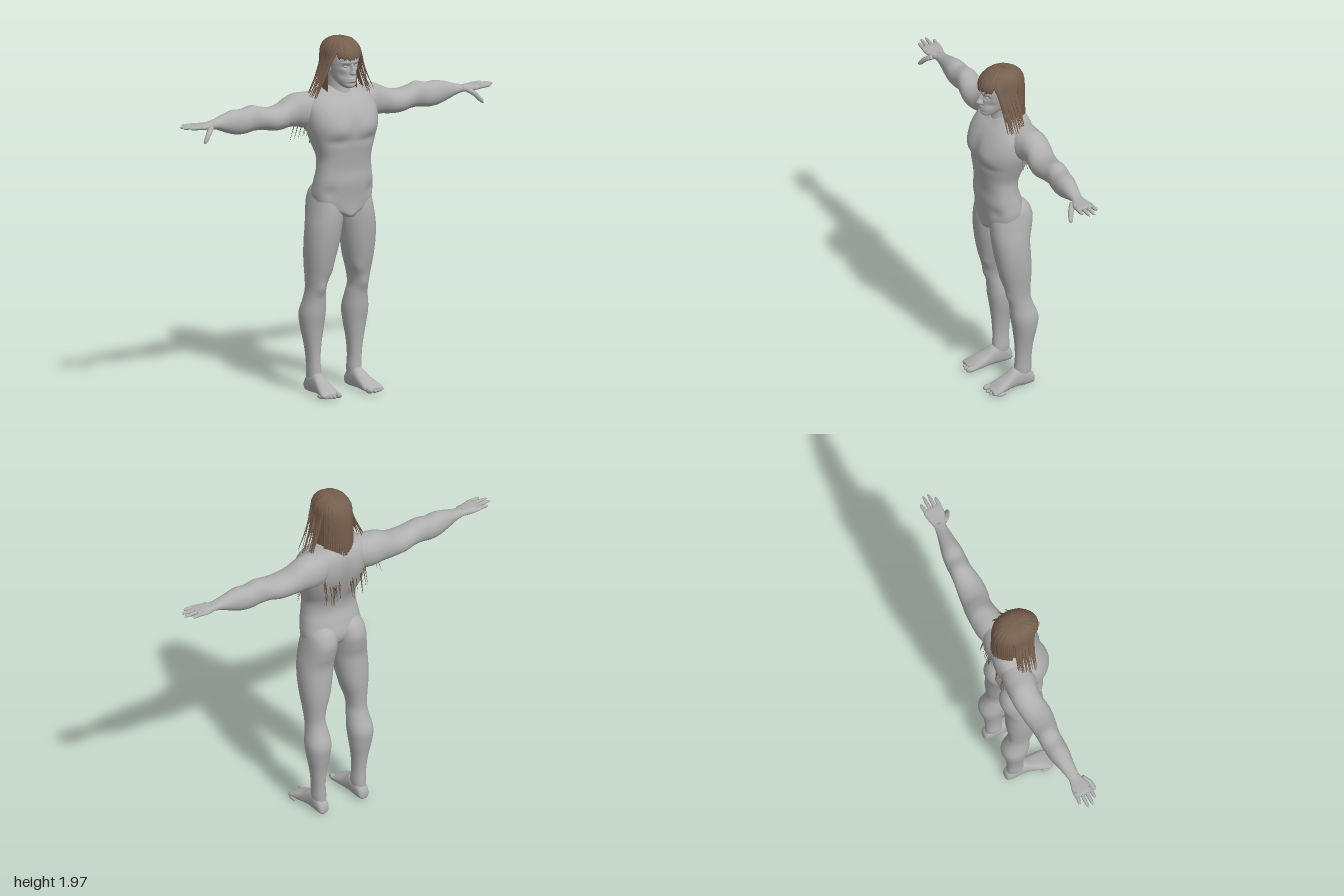
import * as THREE from 'three';

const skin = new THREE.MeshStandardMaterial({ color: 0xb0b0b0 });
skin.name = 'skin grey';
const brown = new THREE.MeshStandardMaterial({ color: 0x78614f, side: THREE.DoubleSide });
brown.name = 'hair brown';

let seed = 7;
const rand = () => (seed = (seed * 16807) % 2147483647) / 2147483647;
const V = (x, y, z) => new THREE.Vector3(x, y, z);

// Closed skin over rings of points, always facing outward
function skinRings(rings) {
  const n = rings[0].length, pos = [], idx = [];
  rings.forEach(r => r.forEach(p => pos.push(p.x, p.y, p.z)));
  const ends = [rings[0], rings[rings.length - 1]];
  ends.forEach(r => {
    const c = r.reduce((s, p) => s.add(p), V(0, 0, 0)).divideScalar(n);
    pos.push(c.x, c.y, c.z);
  });
  const c0 = rings.length * n, last = c0 - n;
  for (let j = 0; j < n; j++) {
    const k = (j + 1) % n;
    for (let i = 0; i < rings.length - 1; i++) {
      const a = i * n + j, b = i * n + k;
      idx.push(a, b, a + n, b, b + n, a + n);
    }
    idx.push(c0, k, j, c0 + 1, last + j, last + k);
  }
  const g = new THREE.BufferGeometry();
  g.setAttribute('position', new THREE.Float32BufferAttribute(pos, 3));
  let vol = 0;
  const P = i => V(pos[3 * i], pos[3 * i + 1], pos[3 * i + 2]);
  for (let i = 0; i < idx.length; i += 3) vol += P(idx[i]).dot(P(idx[i + 1]).cross(P(idx[i + 2])));
  g.setIndex(vol < 0 ? idx.reverse() : idx);
  g.computeVertexNormals();
  return g;
}

// Smooth loft along an axis; rows are [position, uMin, uMax, vMin, vMax]
function loft(axis, rows, e = 2.2, n = 36, sub = 5) {
  const cr = (a, b, c, d, t) => b + 0.5 * t * (c - a + t * (2 * a - 5 * b + 4 * c - d + t * (3 * (b - c) + d - a)));
  const at = i => rows[Math.max(0, Math.min(rows.length - 1, i))];
  const pw = x => Math.sign(x) * Math.abs(x) ** (2 / e);
  const rings = [];
  for (let s = 0; s <= (rows.length - 1) * sub; s++) {
    const i = Math.floor(s / sub), f = (s % sub) / sub;
    const [t, u0, u1, v0, v1] = at(i).map((_, k) => cr(at(i - 1)[k], at(i)[k], at(i + 1)[k], at(i + 2)[k], f));
    rings.push(Array.from({ length: n }, (_, j) => {
      const a = (j / n) * Math.PI * 2;
      const u = (u0 + u1) / 2 + (u1 - u0) / 2 * pw(Math.cos(a));
      const v = (v0 + v1) / 2 + (v1 - v0) / 2 * pw(Math.sin(a));
      return axis === 'y' ? V(u, t, v) : axis === 'x' ? V(t, u, v) : V(u, v, t);
    }));
  }
  return skinRings(rings);
}

// Flattened tapering strip along a curve
function strip(points, wide, thick, side, taper, segs = 12, n = 6) {
  const curve = new THREE.CatmullRomCurve3(points), rings = [];
  for (let i = 0; i <= segs; i++) {
    const t = i / segs, c = curve.getPoint(t), T = curve.getTangent(t), k = taper(t);
    const N = T.clone().cross(side).normalize(), W = N.clone().cross(T);
    rings.push(Array.from({ length: n }, (_, j) => {
      const a = (j / n) * Math.PI * 2;
      return c.clone().addScaledVector(W, wide * k * Math.cos(a)).addScaledVector(N, thick * k * Math.sin(a));
    }));
  }
  return skinRings(rings);
}

// Soft bulges and hollows: [centre xyz, spread xyz, push xyz], mirrored when off-centre
function sculpt(g, list) {
  const p = g.attributes.position;
  for (let i = 0; i < p.count; i++) {
    const v = V(p.getX(i), p.getY(i), p.getZ(i)), d = V(0, 0, 0);
    for (const [x, y, z, sx, sy, sz, dx, dy, dz] of list)
      for (const m of x ? [1, -1] : [1]) {
        const w = Math.exp(-(((v.x - m * x) / sx) ** 2) - ((v.y - y) / sy) ** 2 - ((v.z - z) / sz) ** 2);
        d.add(V(m * dx * w, dy * w, dz * w));
      }
    v.add(d);
    p.setXYZ(i, v.x, v.y, v.z);
  }
  g.computeVertexNormals();
  return g;
}

export function createModel() {
  const root = new THREE.Group();
  const add = (name, g, mat = skin) => {
    const m = new THREE.Mesh(g, mat);
    m.name = name;
    root.add(m);
  };
  const pair = (name, g, mat = skin) => {
    add(name + 'Left', g, mat);
    const r = g.clone().scale(-1, 1, 1);
    r.setIndex(Array.from(g.index.array).reverse());
    r.computeVertexNormals();
    add(name + 'Right', r, mat);
  };

  // Torso with chest, belly and spine modelling
  add('torso', sculpt(loft('y', [
    [0.985, -0.03, 0.03, 0.03, 0.1], [1.0, -0.05, 0.05, -0.01, 0.112], [1.04, -0.15, 0.15, -0.08, 0.113],
    [1.1, -0.176, 0.176, -0.105, 0.118], [1.18, -0.17, 0.17, -0.088, 0.127], [1.25, -0.16, 0.16, -0.07, 0.125],
    [1.32, -0.158, 0.158, -0.08, 0.132], [1.4, -0.182, 0.182, -0.115, 0.142], [1.48, -0.205, 0.205, -0.14, 0.15],
    [1.55, -0.21, 0.21, -0.152, 0.138], [1.61, -0.2, 0.2, -0.152, 0.1], [1.65, -0.165, 0.165, -0.14, 0.06],
    [1.68, -0.1, 0.1, -0.12, 0.03], [1.7, -0.055, 0.055, -0.1, 0.01]], 2.4, 64, 6), [
    [0.09, 1.48, 0.14, 0.07, 0.05, 0.08, 0, 0, 0.012], [0, 1.5, 0.15, 0.02, 0.08, 0.06, 0, 0, -0.01],
    [0.1, 1.415, 0.14, 0.07, 0.02, 0.06, 0, 0, -0.008], [0, 1.3, 0.13, 0.012, 0.1, 0.05, 0, 0, -0.004],
    [0, 1.4, -0.14, 0.025, 0.2, 0.07, 0, 0, 0.018], [0.1, 1.53, -0.15, 0.06, 0.07, 0.05, 0, 0, -0.006],
    [0.13, 1.13, 0.1, 0.03, 0.03, 0.06, 0, 0, -0.01]]));

  // Legs from buttock to ankle
  pair('leg', sculpt(loft('y', [
    [1.17, 0.05, 0.13, -0.08, 0.05], [1.13, 0.012, 0.165, -0.118, 0.08], [1.07, 0.004, 0.18, -0.137, 0.098],
    [1.0, 0.006, 0.192, -0.128, 0.104], [0.93, 0.012, 0.203, -0.112, 0.1], [0.84, 0.024, 0.208, -0.113, 0.088],
    [0.74, 0.045, 0.203, -0.115, 0.068], [0.65, 0.072, 0.193, -0.108, 0.042], [0.58, 0.083, 0.188, -0.106, 0.022],
    [0.52, 0.075, 0.193, -0.122, 0.01], [0.44, 0.068, 0.206, -0.15, 0.003], [0.36, 0.076, 0.198, -0.142, -0.01],
    [0.27, 0.09, 0.18, -0.125, -0.02], [0.18, 0.097, 0.168, -0.117, -0.024], [0.1, 0.092, 0.166, -0.117, -0.02],
    [0.04, 0.1, 0.16, -0.115, -0.02]], 2.2, 40), [
    [0.135, 0.585, 0.03, 0.03, 0.035, 0.03, 0, 0, 0.01], [0.09, 0.68, 0.04, 0.03, 0.04, 0.04, -0.006, 0, 0.006]]));

  // Feet and toes
  pair('foot', loft('z', [
    [-0.132, 0.115, 0.145, 0.015, 0.04], [-0.122, 0.1, 0.16, 0.003, 0.07], [-0.08, 0.093, 0.167, 0, 0.11],
    [-0.02, 0.09, 0.168, 0.002, 0.112], [0.03, 0.086, 0.178, 0.002, 0.08], [0.08, 0.082, 0.192, 0, 0.055],
    [0.115, 0.083, 0.198, 0, 0.036], [0.132, 0.095, 0.188, 0.006, 0.026]], 2.4, 28));
  for (let i = 0; i < 5; i++) {
    const r = i ? 0.011 : 0.017;
    pair('toe' + (i + 1), new THREE.SphereGeometry(1, 12, 8).scale(r, r, 0.03)
      .translate([0.1, 0.13, 0.152, 0.172, 0.189][i], r, 0.126 - i * i * 0.0022));
  }

  // Arms from shoulder to wrist
  pair('arm', loft('x', [
    [0.07, 1.52, 1.66, -0.13, -0.01], [0.14, 1.48, 1.668, -0.15, 0.02], [0.2, 1.475, 1.668, -0.156, 0.02],
    [0.25, 1.485, 1.666, -0.157, 0.005], [0.3, 1.487, 1.645, -0.155, 0.0], [0.35, 1.483, 1.622, -0.147, 0.01],
    [0.41, 1.484, 1.613, -0.14, 0.014], [0.47, 1.497, 1.622, -0.132, 0.006], [0.53, 1.497, 1.638, -0.128, -0.006],
    [0.59, 1.489, 1.625, -0.125, -0.004], [0.65, 1.494, 1.628, -0.118, -0.004], [0.71, 1.513, 1.615, -0.104, -0.012],
    [0.77, 1.537, 1.596, -0.09, -0.018], [0.82, 1.547, 1.585, -0.082, -0.02]], 2.1, 36));

  // Hands: palm, fingers and thumb
  pair('palm', loft('x', [
    [0.8, 1.548, 1.586, -0.082, -0.02], [0.835, 1.547, 1.584, -0.088, -0.006], [0.87, 1.551, 1.584, -0.097, 0.006],
    [0.905, 1.558, 1.584, -0.1, 0.008], [0.922, 1.564, 1.58, -0.092, 0.002]], 2.5, 24));
  const blunt = t => Math.sqrt(Math.max(0.02, 1 - t ** 8)) * (1 - 0.3 * t);
  [[0.965, -0.004, -0.002], [0.997, -0.03, -0.03], [1.0, -0.056, -0.06], [0.962, -0.084, -0.094]].forEach(([x, z0, z1], i) =>
    pair('finger' + (i + 1), strip([V(0.89, 1.571, z0), V(0.94, 1.573, (z0 + z1) / 2), V(x, 1.574, z1)],
      0.0125, 0.0115, V(0, 0, 1), blunt, 10, 10)));
  pair('thumb', strip([V(0.825, 1.562, -0.015), V(0.855, 1.54, 0.012), V(0.88, 1.51, 0.026), V(0.896, 1.49, 0.032)],
    0.018, 0.015, V(0, 0, 1), blunt, 12, 10));

  // Neck and head
  add('neck', loft('y', [[1.6, -0.085, 0.085, -0.12, 0.06], [1.66, -0.068, 0.068, -0.105, 0.05],
    [1.7, -0.06, 0.06, -0.095, 0.045], [1.77, -0.058, 0.058, -0.09, 0.045]], 2, 32));
  add('head', sculpt(loft('y', [
    [1.698, -0.02, 0.02, 0.05, 0.1], [1.708, -0.036, 0.036, 0.02, 0.115], [1.735, -0.053, 0.053, -0.04, 0.118],
    [1.77, -0.066, 0.066, -0.08, 0.114], [1.81, -0.074, 0.074, -0.1, 0.114], [1.85, -0.078, 0.078, -0.108, 0.116],
    [1.89, -0.076, 0.076, -0.105, 0.11], [1.93, -0.056, 0.056, -0.08, 0.075], [1.95, -0.02, 0.02, -0.03, 0.02]], 2.2, 72, 8), [
    [0.032, 1.82, 0.11, 0.02, 0.012, 0.05, 0, 0, -0.013], [0.03, 1.842, 0.11, 0.025, 0.008, 0.05, 0, 0, 0.005],
    [0, 1.752, 0.12, 0.02, 0.005, 0.04, 0, 0, 0.008], [0, 1.739, 0.12, 0.018, 0.005, 0.04, 0, 0, 0.007],
    [0, 1.726, 0.12, 0.03, 0.005, 0.04, 0, 0, -0.005], [0.05, 1.775, 0.09, 0.018, 0.02, 0.04, -0.004, 0, -0.005]]));
  add('nose', loft('y', [[1.772, -0.008, 0.008, 0.1, 0.122], [1.777, -0.017, 0.017, 0.09, 0.138],
    [1.787, -0.016, 0.016, 0.09, 0.146], [1.805, -0.01, 0.01, 0.09, 0.134], [1.835, -0.009, 0.009, 0.09, 0.119]], 1.8, 20));
  pair('eye', new THREE.SphereGeometry(0.011, 16, 10).scale(1.1, 0.65, 0.7).translate(0.031, 1.819, 0.096));
  pair('ear', new THREE.SphereGeometry(1, 14, 10).scale(0.009, 0.032, 0.018).translate(0.077, 1.81, 0));

  // Hair cap and the curtain behind the face
  add('hairCap', loft('y', [[1.885, -0.092, 0.092, -0.122, 0.112], [1.91, -0.089, 0.089, -0.117, 0.106],
    [1.94, -0.066, 0.066, -0.092, 0.08], [1.956, -0.04, 0.04, -0.06, 0.045], [1.961, -0.012, 0.012, -0.02, 0.01]], 2, 40), brown);
  add('hairCurtain', new THREE.CylinderGeometry(1, 1.08, 0.3, 40, 6, true, 1.4, Math.PI * 2 - 2.8)
    .scale(0.09, 1, 0.118).translate(0, 1.76, -0.005), brown);

  // Locks swept from the crown: fringe, flared sides, straight back
  const lock = t => Math.min(1, 0.45 + 2 * t) * (1 - 0.85 * Math.max(0, t - 0.65) / 0.35);
  const count = 74;
  for (let i = 0; i < count; i++) {
    const a = ((i + 0.5) / count * 2 - 1) * Math.PI, s = Math.sin(a), c = Math.cos(a), A = Math.abs(a), r = rand();
    const pts = [V(0.015 * s, 1.962, 0.015 * c - 0.005), V(0.06 * s, 1.95, 0.072 * c - 0.007), V(0.092 * s, 1.91, 0.117 * c - 0.005)];
    if (A < 0.85) pts.push(V(0.094 * s, 1.875, 0.126 * c), V(0.09 * s, 1.848 + 0.02 * r, 0.128 * c));
    else if (A < 2) {
      const m = Math.sign(s), z = 0.06 - 0.09 * (A - 0.85), f = 0.155 + 0.045 * r;
      pts.push(V(0.1 * m, 1.85, z), V(m * (0.1 + 0.35 * (f - 0.1)), 1.77, z - 0.01), V(m * f, 1.635 + 0.02 * r, z - 0.02));
    } else pts.push(V(0.1 * s, 1.84, 0.127 * c - 0.006), V(0.105 * s, 1.72, 0.131 * c - 0.005), V(0.11 * s, 1.56 + 0.06 * r, 0.135 * c - 0.008));
    add('hairLock', strip(pts, 0.0105, 0.004 + 0.003 * r, V(c, 0, -s), lock, 14), brown);
  }

  // Thin loose ends over the back and below the arms
  for (let i = 0; i < 26; i++) {
    const m = i % 2 ? 1 : -1, x = m * (0.035 + 0.1 * rand()), y = 1.33 + 0.07 * rand(), z = -0.122 - 0.025 * rand();
    add('backWisp', strip([V(x, y + 0.13, -0.125), V(x, y + 0.06, z), V(x * 1.05, y, z - 0.003)],
      0.004, 0.003, V(1, 0, 0), t => 1.05 - t, 5, 4), brown);
  }
  for (let i = 0; i < 4; i++)
    pair('sideWisp', strip([V(0.2, 1.56, -0.03 - 0.02 * i), V(0.22 + 0.01 * i, 1.48, -0.02 - 0.02 * i), V(0.235 + 0.014 * i, 1.43 - 0.01 * i, -0.02 - 0.02 * i)],
      0.005, 0.003, V(1, 0, 0), t => 1.05 - t, 6, 4), brown);
  return root;
}
